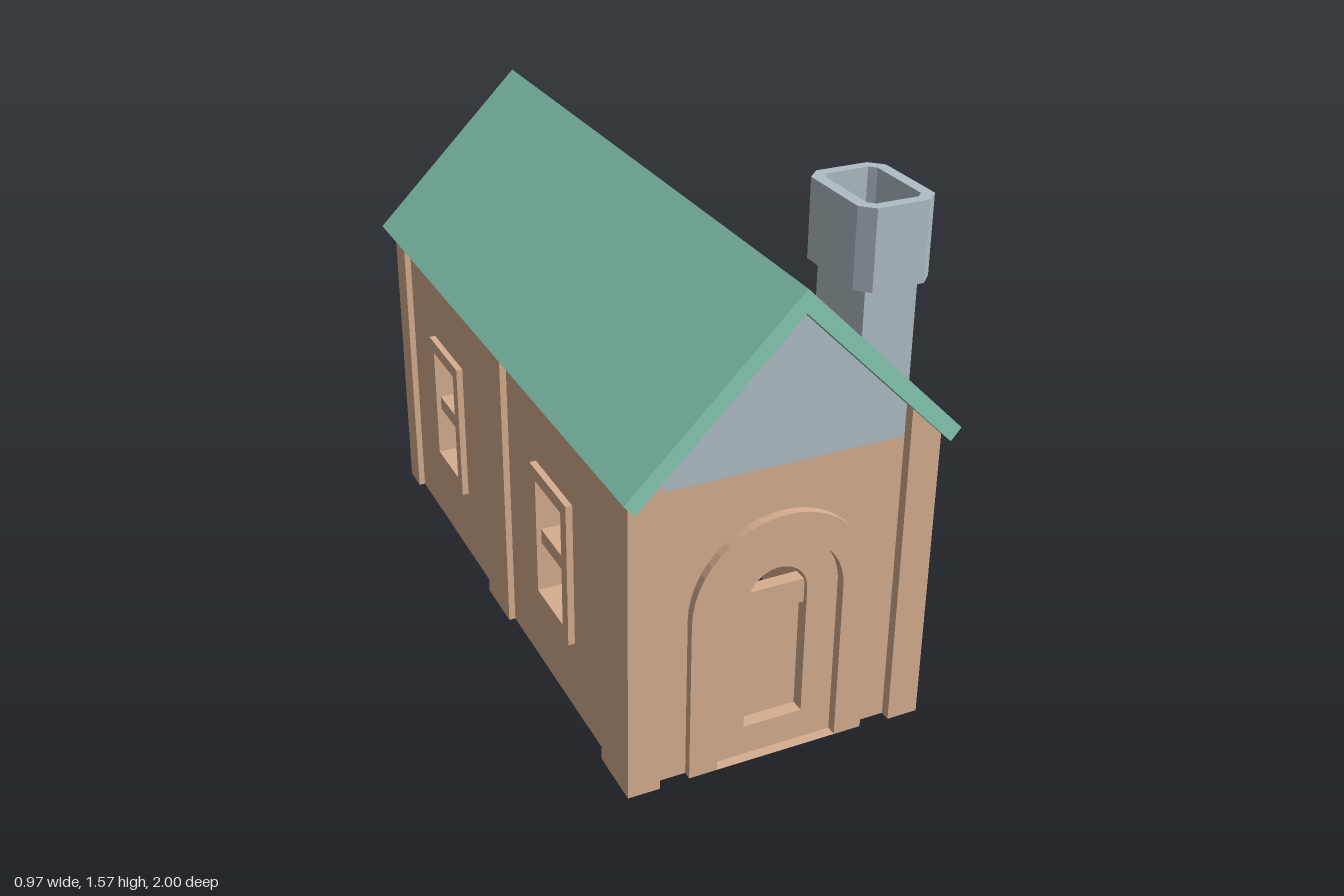
import * as THREE from 'three';

const wood = new THREE.MeshStandardMaterial({ color: 0xd7ae90 });
const green = new THREE.MeshStandardMaterial({ color: 0x88ccb5 });
const stone = new THREE.MeshStandardMaterial({ color: 0xb0bec5 });

const poly = (pts) => new THREE.Shape(pts.map(([x, y]) => new THREE.Vector2(x, y)));
const rect = (x0, x1, y0, y1) => poly([[x0, y0], [x1, y0], [x1, y1], [x0, y1]]);

// Upright rectangle with a round top
function arch(r, y0, yc = 0.503) {
  const pts = [[-r, y0], [r, y0]];
  for (let i = 0; i <= 24; i++) {
    const a = (i / 24) * Math.PI;
    pts.push([r * Math.cos(a), yc + r * Math.sin(a)]);
  }
  return poly(pts);
}

// Rectangle centred on the origin with cut corners
const cutRect = (w, d, c) => poly([
  [-w + c, -d], [w - c, -d], [w, -d + c], [w, d - c],
  [w - c, d], [-w + c, d], [-w, d - c], [-w, -d + c],
]);

function withHoles(shape, ...holes) {
  shape.holes.push(...holes);
  return shape;
}

export function createModel() {
  const model = new THREE.Group();

  const add = (name, geometry, material, parent = model) => {
    const mesh = new THREE.Mesh(geometry, material);
    mesh.name = name;
    parent.add(mesh);
    return mesh;
  };
  // Slab with an outline in x and y, running from z0 to z1
  const slab = (name, shape, z0, z1, material, parent) => {
    const g = new THREE.ExtrudeGeometry(shape, { depth: z1 - z0, bevelEnabled: false });
    g.translate(0, 0, z0);
    return add(name, g, material, parent);
  };
  // Slab with an outline in z and y, running from x0 to x1
  const sideSlab = (name, shape, x0, x1, material, parent) => {
    const g = new THREE.ExtrudeGeometry(shape, { depth: x1 - x0, bevelEnabled: false });
    g.rotateY(-Math.PI / 2); // outline x becomes z, depth becomes -x
    g.translate(x1, 0, 0);
    return add(name, g, material, parent);
  };

  // Roof: one folded sheet along the whole length
  slab('roof', poly([
    [0, 1.43], [-0.485, 0.945], [-0.455, 0.91], [0, 1.365], [0.455, 0.91], [0.485, 0.945],
  ]), -1, 1, green);

  // Side walls with posts and windows, on both sides
  for (const side of [1, -1]) {
    const group = new THREE.Group();
    group.name = side > 0 ? 'leftSide' : 'rightSide';
    group.rotation.y = 0;
    model.add(group);
    const x = (a, b) => (side > 0 ? [a, b] : [-b, -a]);

    // Posts with tops cut to the roof slope
    const post = poly([[side * 0.36, 0], [side * 0.455, 0], [side * 0.455, 0.91], [side * 0.36, 1.005]]);
    slab('frontPost', post, 0.775, 0.955, wood, group);
    slab('middlePost', post, -0.13, 0.05, wood, group);
    slab('backPost', post, -0.95, -0.86, wood, group);

    const centres = [0.41, -0.495];
    const hole = (zc) => rect(zc - 0.095, zc + 0.095, 0.275, 0.645);
    sideSlab('sideWall', withHoles(rect(-0.87, 0.79, 0, 0.925), ...centres.map(hole)),
      ...x(0.375, 0.435), wood, group);

    for (const zc of centres) {
      sideSlab('windowFrame', withHoles(rect(zc - 0.135, zc + 0.135, 0.23, 0.685), hole(zc)),
        ...x(0.36, 0.455), wood, group);
      sideSlab('windowBar', rect(zc - 0.095, zc + 0.095, 0.435, 0.48), ...x(0.385, 0.44), wood, group);
    }
  }

  // Front wall and doorway
  slab('frontWall', withHoles(rect(-0.365, 0.365, 0, 0.91), arch(0.185, 0.001)), 0.865, 0.925, wood);
  slab('doorFrame', withHoles(arch(0.27, 0), arch(0.185, 0.001)), 0.855, 0.95, wood);
  slab('door', withHoles(arch(0.187, 0), arch(0.09, 0.095)), 0.865, 0.92, wood);
  slab('doorPanel', rect(-0.092, 0.092, 0.09, 0.45), 0.86, 0.88, wood);
  slab('doorWindowBar', rect(-0.092, 0.092, 0.45, 0.525), 0.865, 0.905, wood);

  // Back wall with planks on the lower half
  slab('backWall', rect(-0.365, 0.365, 0, 0.91), -0.915, -0.86, wood);
  for (const [y0, y1] of [[0, 0.158], [0.172, 0.412], [0.428, 0.55]]) {
    slab('backPlank', rect(-0.36, 0.36, y0, y1), -0.93, -0.91, wood);
  }

  // Gables under both roof ends
  const gable = poly([[-0.365, 0.91], [0.365, 0.91], [0.365, 1.0], [0, 1.366], [-0.365, 1.0]]);
  slab('frontGable', gable, 0.865, 0.925, stone);
  slab('backGable', gable, -0.915, -0.86, stone);

  // Chimney: shaft cut to the roof slope, and a hollow cap
  const chimney = new THREE.Group();
  chimney.name = 'chimney';
  model.add(chimney);
  slab('chimneyShaft', poly([[0.23, 1.19], [0.385, 1.035], [0.385, 1.36], [0.23, 1.36]]),
    0.655, 0.89, stone, chimney);
  const capShape = withHoles(cutRect(0.112, 0.15, 0.036), cutRect(0.079, 0.119, 0.018));
  const capGeometry = new THREE.ExtrudeGeometry(capShape, { depth: 0.225, bevelEnabled: false });
  capGeometry.rotateX(-Math.PI / 2);
  add('chimneyCap', capGeometry, stone, chimney).position.set(0.307, 1.345, 0.772);

  return model;
}
